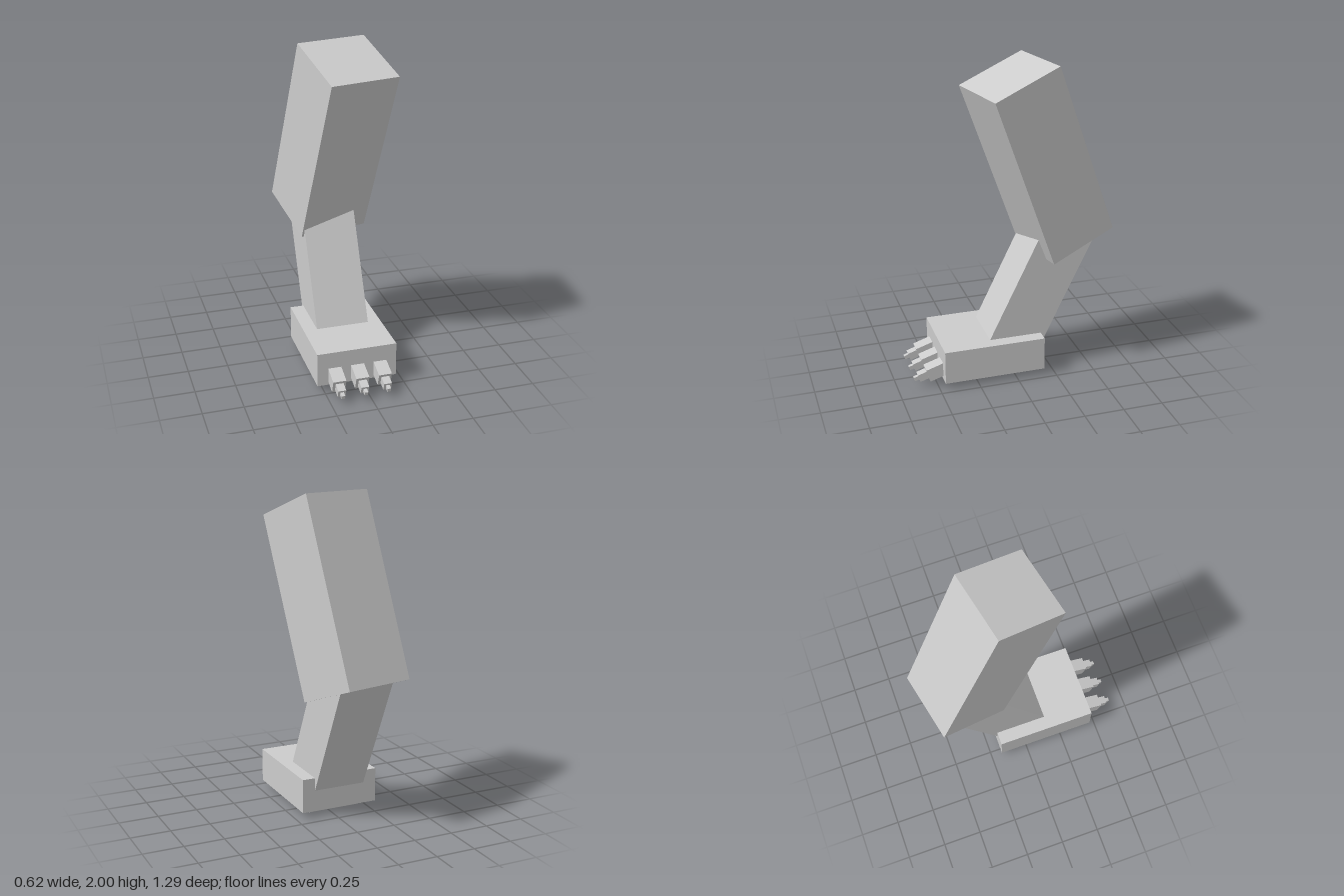
import * as THREE from 'three';

const deg = THREE.MathUtils.degToRad;

export function createModel() {
  const model = new THREE.Group();
  const grey = new THREE.MeshStandardMaterial({ color: 0xcccccc });
  grey.name = 'grey';

  function box(name, size, position, pitch = 0, yaw = 0, parent = model) {
    const mesh = new THREE.Mesh(new THREE.BoxGeometry(...size), grey);
    mesh.name = name;
    mesh.position.set(...position);
    mesh.rotation.set(deg(pitch), deg(yaw), 0, 'YXZ');
    parent.add(mesh);
    return mesh;
  }

  // Leg: a turned thigh over a backward-leaning shin that pokes through the foot
  box('thigh', [0.45, 1.15, 0.454], [-0.002, 1.382, -0.192], 20.6, 12.2);
  box('shin', [0.333, 1.05, 0.336], [-0.038, 0.546, -0.174], -26);
  box('foot', [0.5, 0.215, 0.645], [-0.04, 0.148, 0.143]);

  // Toes: three tapering segments each, pointing forward and down
  for (const x of [-0.181, -0.037, 0.106]) {
    const toe = new THREE.Group();
    toe.name = 'toe';
    toe.position.set(x, 0.076, 0.56);
    toe.rotation.x = deg(18);
    box('toeBase', [0.082, 0.085, 0.14], [0, 0, -0.07], 0, 0, toe);
    box('toeMiddle', [0.049, 0.05, 0.08], [0, 0, 0.018], 0, 0, toe);
    box('toeTip', [0.022, 0.025, 0.05], [0, 0, 0.063], 0, 0, toe);
    model.add(toe);
  }
  return model;
}
